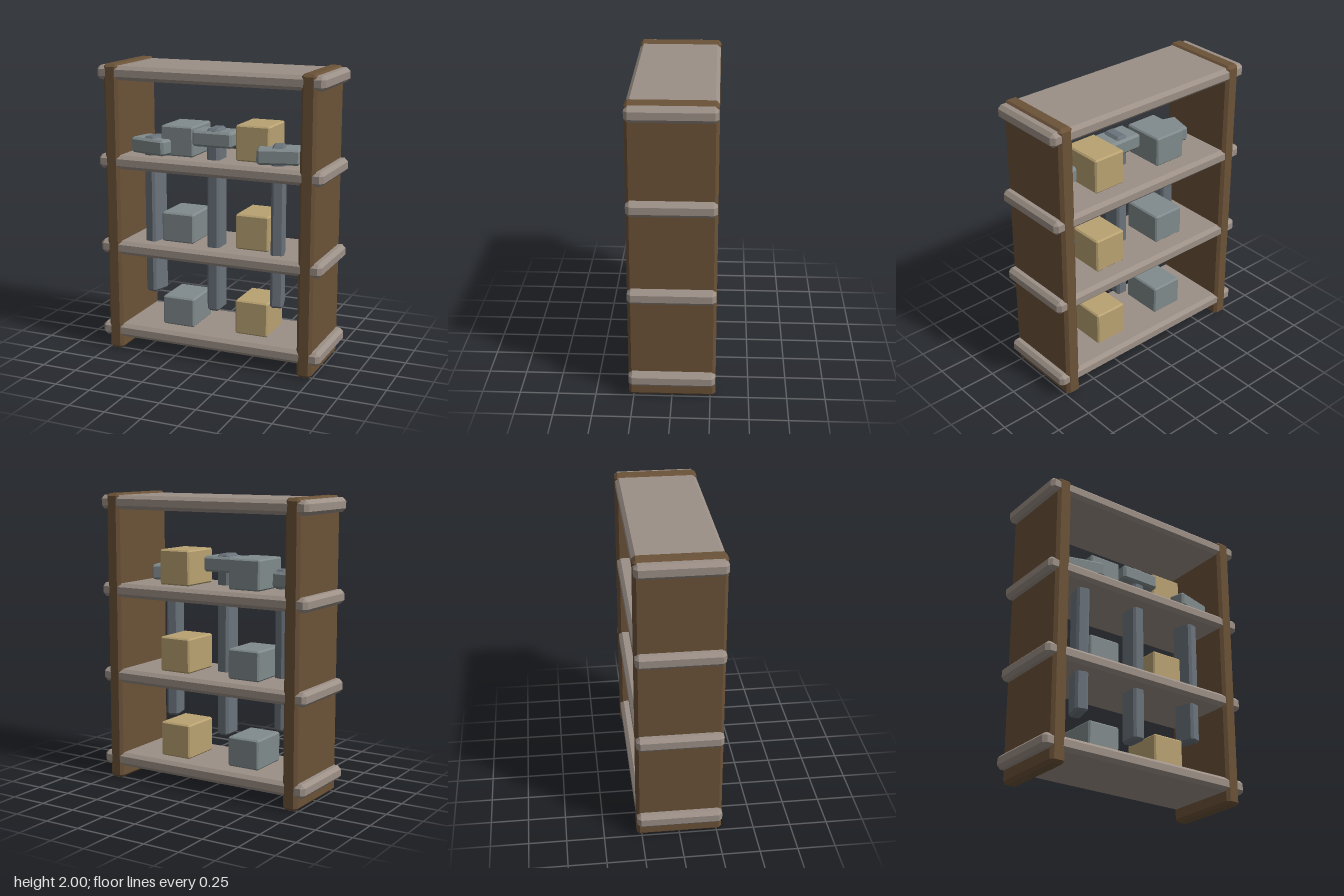
import * as THREE from 'three';
import { ConvexGeometry } from 'three/addons/geometries/ConvexGeometry.js';

const mat = (color) => new THREE.MeshStandardMaterial({ color, flatShading: true });

// Box with bevelled edges: the hull of its six inset faces
function bevelBox(name, w, h, d, bevel, material, x, y, z) {
  const half = [w / 2, h / 2, d / 2];
  const points = [];
  for (const sx of [-1, 1]) for (const sy of [-1, 1]) for (const sz of [-1, 1]) {
    for (let axis = 0; axis < 3; axis++) {
      const c = half.map((v, i) => (i === axis ? v : v - bevel));
      points.push(new THREE.Vector3(sx * c[0], sy * c[1], sz * c[2]));
    }
  }
  const mesh = new THREE.Mesh(new ConvexGeometry(points), material);
  mesh.name = name;
  mesh.position.set(x, y, z);
  return mesh;
}

export function createModel() {
  const group = new THREE.Group();
  group.name = 'toolShelf';
  const wood = mat(0x6b5238);
  const plank = mat(0x9c9087);
  const tan = mat(0xb9a272);
  const slate = mat(0x808a8c);
  const steel = mat(0x6a737b);

  // Side panels
  for (const side of [-1, 1]) {
    group.add(bevelBox(side > 0 ? 'leftPanel' : 'rightPanel', 0.105, 2, 0.568, 0.02, wood, side * 0.695, 1, 0));
  }

  // Shelves, overhanging the panels at both ends
  [0.137, 0.738, 1.338, 1.94].forEach((y, i) => {
    group.add(bevelBox('shelf' + (i + 1), 1.6, 0.095, 0.564, 0.024, plank, 0, y, 0));
  });

  // One pair of crates on each of the lower three shelves
  [0.185, 0.786, 1.386].forEach((y, i) => {
    group.add(bevelBox('greyCrate' + (i + 1), 0.235, 0.205, 0.3, 0.01, slate, -0.27, y + 0.1025, 0));
    group.add(bevelBox('tanCrate' + (i + 1), 0.235, 0.24, 0.3, 0.01, tan, 0.267, y + 0.12, -0.015));
  });

  // Hammers hanging through the shelves, the outer two turned outward
  function hammer(name, x, z, turn, bottom, top, headY) {
    const g = new THREE.Group();
    g.name = name;
    g.add(bevelBox('handle', 0.088, top - bottom, 0.15, 0.016, steel, 0, (top + bottom) / 2, 0));
    g.add(bevelBox('head', 0.283, 0.106, 0.19, 0.015, slate, 0, headY, 0));
    g.position.set(x, 0, z);
    g.rotation.y = turn;
    group.add(g);
  }
  hammer('middleHammer', 0, 0.097, 0, 0.335, 1.597, 1.526);
  for (const side of [-1, 1]) {
    hammer(side > 0 ? 'leftHammer' : 'rightHammer', side * 0.448, 0.112, side * 0.26, 0.42, 1.514, 1.447);
  }
  return group;
}
